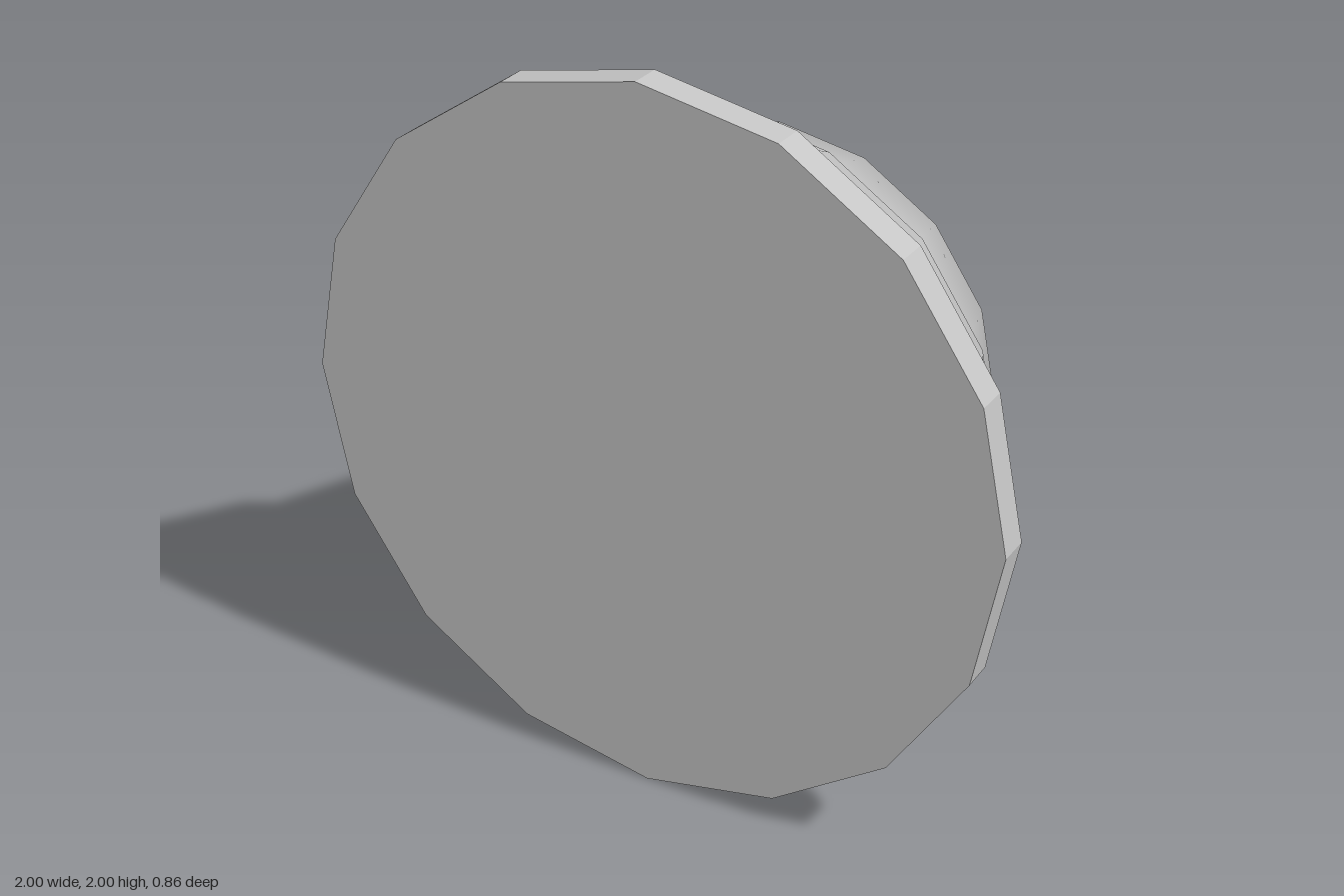
import * as THREE from 'three';

const SIDES = 16;

export function createModel() {
  const group = new THREE.Group();
  const grey = new THREE.MeshStandardMaterial({ color: 0xc4c4c4 });
  grey.name = 'light grey';

  // Turns a geometry's axis from y to z (front = +z) and lifts it onto the ground
  const add = (name, geometry) => {
    geometry.rotateX(Math.PI / 2);
    const mesh = new THREE.Mesh(geometry, grey);
    mesh.name = name;
    mesh.position.y = 1;
    group.add(mesh);
  };

  // Smooth shell from [radius, z] pairs, listed from back to front
  const shell = (profile) =>
    new THREE.LatheGeometry(profile.map(([r, z]) => new THREE.Vector2(r, z)), SIDES);

  // Faceted front disc
  const disc = new THREE.CylinderGeometry(1, 1, 0.09, SIDES).toNonIndexed();
  disc.computeVertexNormals();
  disc.translate(0, 0.385, 0);
  add('frontDisc', disc);

  // Flared collar behind the disc
  add('collar', shell([[0.73, -0.03], [0.8, 0.03], [0.955, 0.342]]));

  // Rounded cap at the back
  add('rearDome', shell([[0, -0.43], [0.34, -0.4], [0.645, -0.28], [0.73, -0.03]]));

  return group;
}
